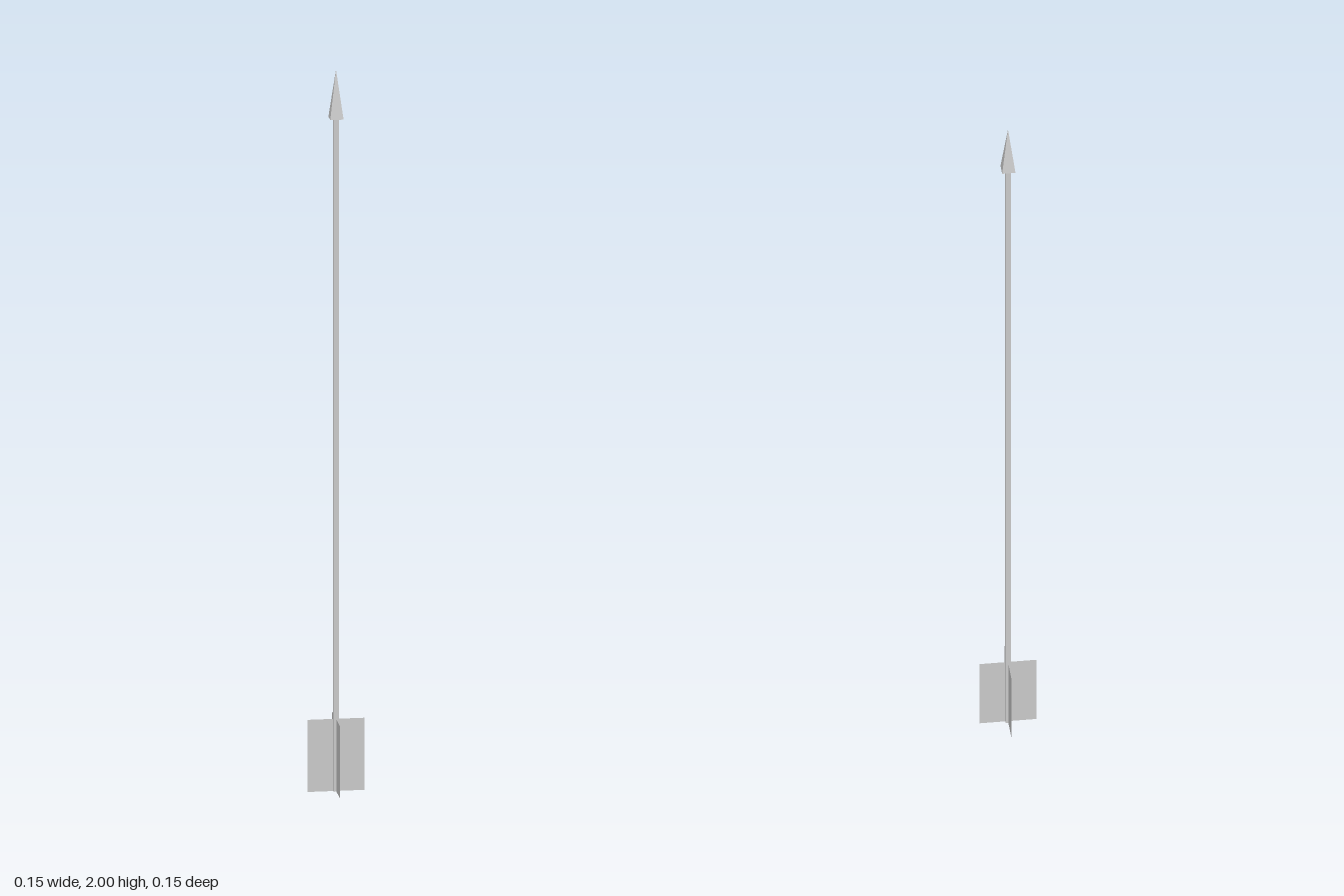
import * as THREE from 'three';

export function createModel() {
  const arrow = new THREE.Group();
  arrow.name = 'arrow';
  const solid = new THREE.MeshStandardMaterial({ color: 0xcccccc, flatShading: true });
  const thin = new THREE.MeshStandardMaterial({ color: 0xcccccc, flatShading: true, side: THREE.DoubleSide });

  const add = (name, geometry, y, material = solid) => {
    const mesh = new THREE.Mesh(geometry, material);
    mesh.name = name;
    mesh.position.y = y;
    arrow.add(mesh);
    return mesh;
  };

  // Square shaft running from the nock into the head
  const shaftTop = 1.865;
  add('shaft', new THREE.BoxGeometry(0.015, shaftTop, 0.015), shaftTop / 2);

  // Four-sided pyramid head, flats facing the axes
  const headHeight = 2 - shaftTop;
  const head = new THREE.ConeGeometry(0.018 * Math.SQRT2, headHeight, 4).rotateY(Math.PI / 4);
  add('head', head, shaftTop + headHeight / 2);

  // Two crossed sheets form the four vanes
  for (let i = 0; i < 2; i++) {
    const vane = add(i ? 'sideFletching' : 'frontFletching', new THREE.PlaneGeometry(0.154, 0.2), 0.1, thin);
    vane.rotation.y = i * Math.PI / 2;
  }
  return arrow;
}
